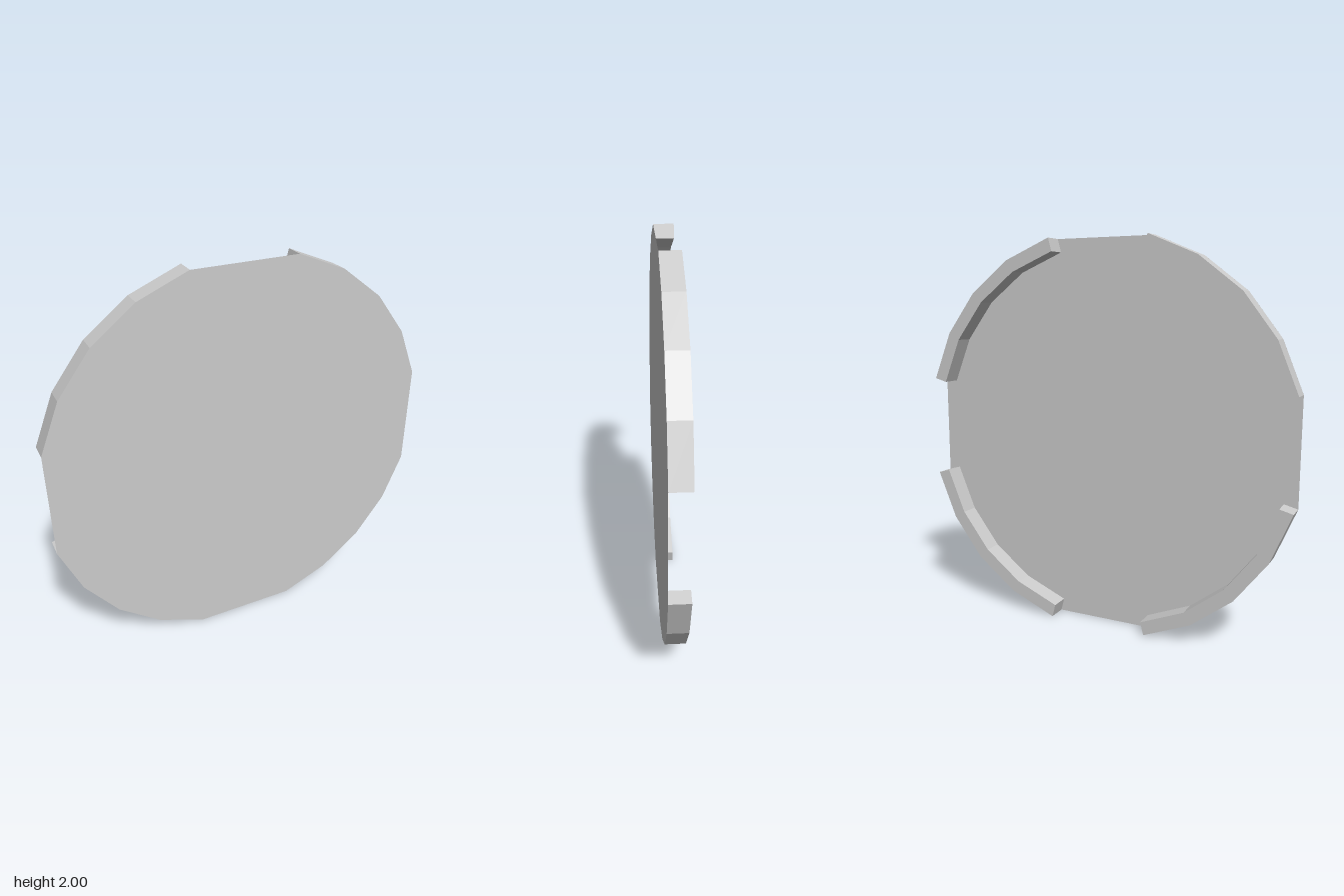
import * as THREE from 'three';

const OUTER = 1 / Math.cos(Math.PI / 12); // corner radius giving flat sides at x, y = ±1
const INNER = 0.966;
const HALF_DEPTH = 0.05;

// Five corners of one quarter, 15 to 75 degrees, turned by quarter * 90 degrees
function arc(radius, quarter) {
  return Array.from({ length: 5 }, (_, i) => {
    const a = (i + 1) * Math.PI / 12 + quarter * Math.PI / 2;
    return new THREE.Vector2(radius * Math.cos(a), radius * Math.sin(a));
  });
}

export function createModel() {
  const group = new THREE.Group();
  group.name = 'rimmedDisc';
  const material = new THREE.MeshStandardMaterial({
    color: 0xcccccc, flatShading: true, side: THREE.DoubleSide,
  });

  // Paper-thin front plate with four long flat sides
  const outline = [0, 1, 2, 3].flatMap((q) => arc(OUTER, q));
  const plate = new THREE.Mesh(new THREE.ShapeGeometry(new THREE.Shape(outline)), material);
  plate.name = 'frontPlate';
  plate.position.set(0, 1, HALF_DEPTH);
  group.add(plate);

  // Rim segments behind the plate, one per rounded corner
  const names = ['rimUpperLeft', 'rimUpperRight', 'rimLowerRight', 'rimLowerLeft'];
  names.forEach((name, q) => {
    const section = new THREE.Shape([...arc(OUTER, q), ...arc(INNER, q).reverse()]);
    const rim = new THREE.Mesh(
      new THREE.ExtrudeGeometry(section, { depth: 2 * HALF_DEPTH - 0.0005, bevelEnabled: false }),
      material,
    );
    rim.name = name;
    rim.position.set(0, 1, -HALF_DEPTH);
    group.add(rim);
  });

  return group;
}
